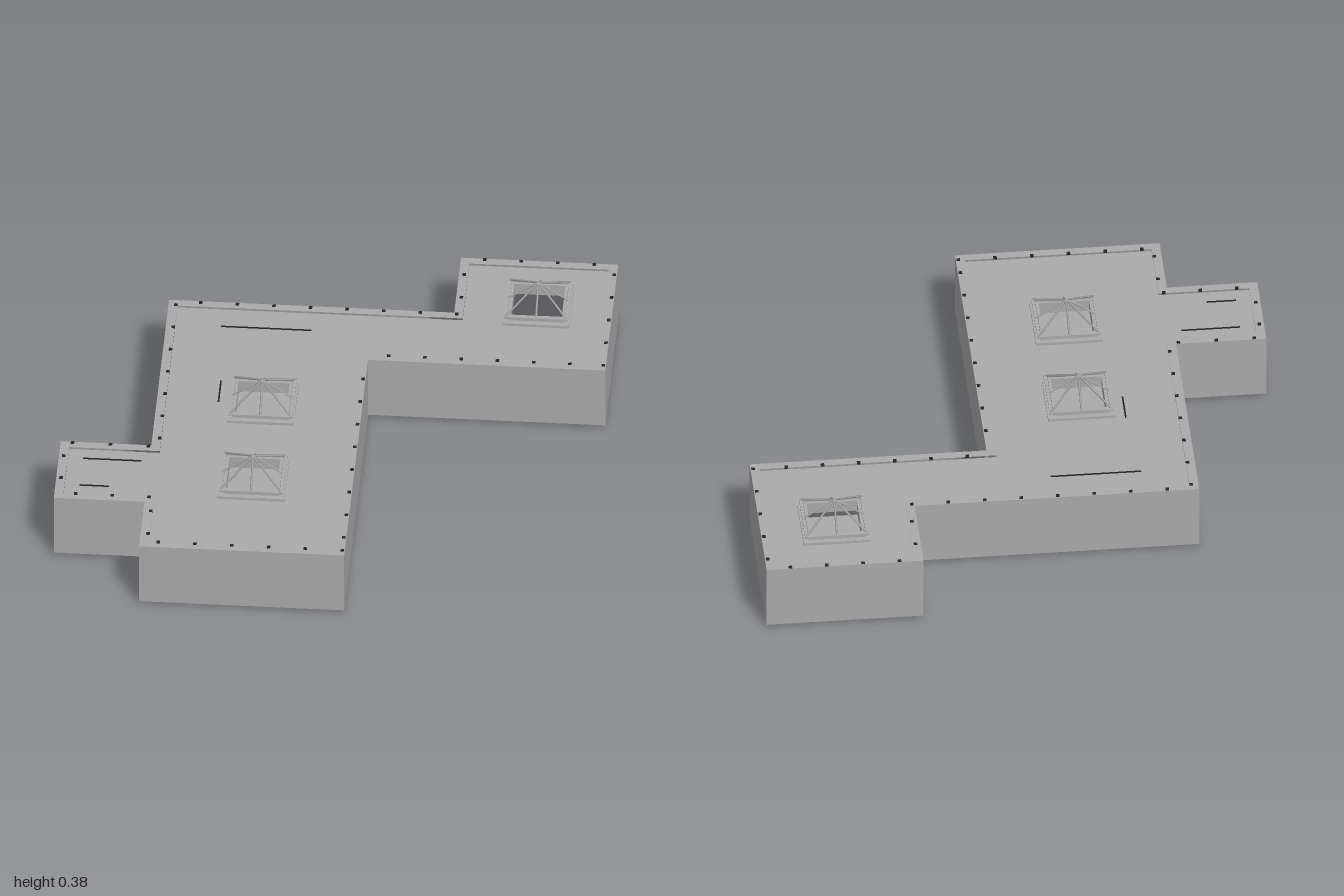
import * as THREE from 'three';

// Plan corners as (x, -z), clockwise
const PLAN = [[-1, -0.305], [-0.66, -0.305], [-0.66, 0.595], [0.41, 0.595], [0.41, 0.935], [1, 0.935],
  [1, 0.28], [0.11, 0.28], [0.11, -0.93], [-0.66, -0.93], [-0.66, -0.655], [-1, -0.655]]
  .map(([x, y]) => new THREE.Vector2(x, y));
const SKYLIGHTS = [[-0.265, 0.01], [-0.265, 0.48], [0.72, -0.665]];

// Moves every wall line of the plan inward by d
function inset(points, d) {
  const n = points.length;
  const inward = (a, b) => new THREE.Vector2(b.y - a.y, a.x - b.x).normalize();
  return points.map((p, i) => p.clone()
    .addScaledVector(inward(points[(i + n - 1) % n], p), d)
    .addScaledVector(inward(p, points[(i + 1) % n]), d));
}

function square(x, y, h) {
  return [[-h, -h], [h, -h], [h, h], [-h, h]].map(([a, b]) => new THREE.Vector2(x + a, y + b));
}

// Upright extrusion of an outline with holes, from y0 to y1
function prism(outline, holes, y0, y1) {
  const shape = new THREE.Shape(outline);
  shape.holes = holes.map((h) => new THREE.Path(h));
  const geometry = new THREE.ExtrudeGeometry(shape, { depth: y1 - y0, bevelEnabled: false });
  return geometry.rotateX(-Math.PI / 2).translate(0, y0, 0);
}

export function createModel() {
  const model = new THREE.Group();
  model.name = 'building';
  const grey = new THREE.MeshStandardMaterial({ name: 'concrete grey', color: 0xaaaaaa });
  const dark = new THREE.MeshStandardMaterial({ name: 'dark trim', color: 0x222222 });

  function add(parent, name, geometry, material = grey) {
    const mesh = new THREE.Mesh(geometry, material);
    mesh.name = name;
    parent.add(mesh);
    return mesh;
  }
  function box(parent, name, size, position, material) {
    const mesh = add(parent, name, new THREE.BoxGeometry(...size), material);
    mesh.position.set(...position);
    return mesh;
  }
  function bar(parent, name, from, to, radius) {
    const a = new THREE.Vector3(...from), b = new THREE.Vector3(...to);
    const mesh = add(parent, name, new THREE.CylinderGeometry(radius, radius, a.distanceTo(b), 4));
    mesh.position.copy(a).add(b).multiplyScalar(0.5);
    mesh.quaternion.setFromUnitVectors(new THREE.Vector3(0, 1, 0), b.sub(a).normalize());
  }

  // Hollow shell: outer walls rising to a low parapet, floor and roof
  const inner = inset(PLAN, 0.034);
  add(model, 'outerWalls', prism(PLAN, [inner], 0.012, 0.27));
  add(model, 'floor', prism(inner, [], 0.012, 0.03));
  add(model, 'roof', prism(inner, SKYLIGHTS.map(([x, z]) => square(x, -z, 0.095)), 0.245, 0.262));

  // Pyramid skylights with an open frame of hips and mid bars
  for (const [x, z] of SKYLIGHTS) {
    const skylight = new THREE.Group();
    skylight.name = 'skylight';
    skylight.position.set(x, 0, z);
    model.add(skylight);
    const hole = square(0, 0, 0.095);
    add(skylight, 'flashing', prism(square(0, 0, 0.126), [hole], 0.262, 0.273));
    add(skylight, 'curb', prism(square(0, 0, 0.106), [hole], 0.273, 0.292));
    add(skylight, 'eaveFrame', prism(square(0, 0, 0.12), [square(0, 0, 0.108)], 0.29, 0.298));
    for (let i = 0; i < 8; i++) {
      const angle = i * Math.PI / 4;
      const r = 0.116 * (i % 2 ? Math.SQRT2 : 1);
      bar(skylight, i % 2 ? 'hipBar' : 'midBar',
        [r * Math.cos(angle), 0.296, r * Math.sin(angle)], [0, 0.376, 0], 0.004);
    }
  }

  // Rows of small studs along the parapet: x0, z0, x1, z1, count
  const studRows = [
    [0.5, -0.928, 0.91, -0.928, 4], [0.99, -0.87, 0.99, -0.31, 5], [0.185, -0.31, 0.865, -0.31, 6],
    [0.1, -0.16, 0.1, 0.82, 8], [-0.59, 0.9, 0.1, 0.9, 6], [-0.632, 0.85, -0.632, 0.71, 2],
    [-0.92, 0.625, -0.645, 0.625, 3], [-0.982, 0.53, -0.982, 0.395, 2], [-0.955, 0.312, -0.67, 0.312, 3],
    [-0.632, 0.26, -0.632, -0.565, 7], [-0.54, -0.585, 0.42, -0.585, 8], [0.43, -0.69, 0.43, -0.83, 2]];
  for (const [x0, z0, x1, z1, count] of studRows) {
    for (let i = 0; i < count; i++) {
      const t = i / (count - 1);
      box(model, 'parapetStud', [0.013, 0.006, 0.013],
        [x0 + (x1 - x0) * t, 0.27, z0 + (z1 - z0) * t], dark);
    }
  }

  // Thin dark joints on the roof: x, z, length along x, length along z
  const joints = [[-0.285, -0.455, 0.34, 0.006], [-0.43, -0.055, 0.006, 0.13],
    [-0.8, 0.395, 0.22, 0.006], [-0.855, 0.56, 0.11, 0.006]];
  for (const [x, z, w, d] of joints) box(model, 'roofJoint', [w, 0.003, d], [x, 0.263, z], dark);

  // Fixtures under the floor: framed vents, long rails and square pads
  const vents = [[0.89, -0.62], [0.57, -0.62], [-0.09, -0.03], [-0.09, 0.38], [-0.43, 0], [-0.43, 0.39]];
  for (const [x, z] of vents) {
    box(model, 'ventFrame', [0.042, 0.008, 0.16], [x, 0.009, z], dark);
    box(model, 'ventPanel', [0.026, 0.008, 0.14], [x, 0.006, z]);
  }
  for (const [x, z] of [[0.73, -0.61], [-0.315, -0.165], [-0.315, 0.47]]) {
    box(model, 'underRail', [0.012, 0.012, 0.39], [x, 0.007, z]);
  }
  for (const [x, z] of [[0.07, 0], [0.07, 0.62], [-0.585, 0.24], [-0.585, 0.8]]) {
    box(model, 'underPad', [0.055, 0.012, 0.075], [x, 0.006, z]);
  }

  // Double door on the end of the small wing
  for (const z of [0.43, 0.53]) {
    box(model, 'doorLeaf', [0.006, 0.2, 0.094], [-1, 0.115, z]);
  }
  return model;
}
